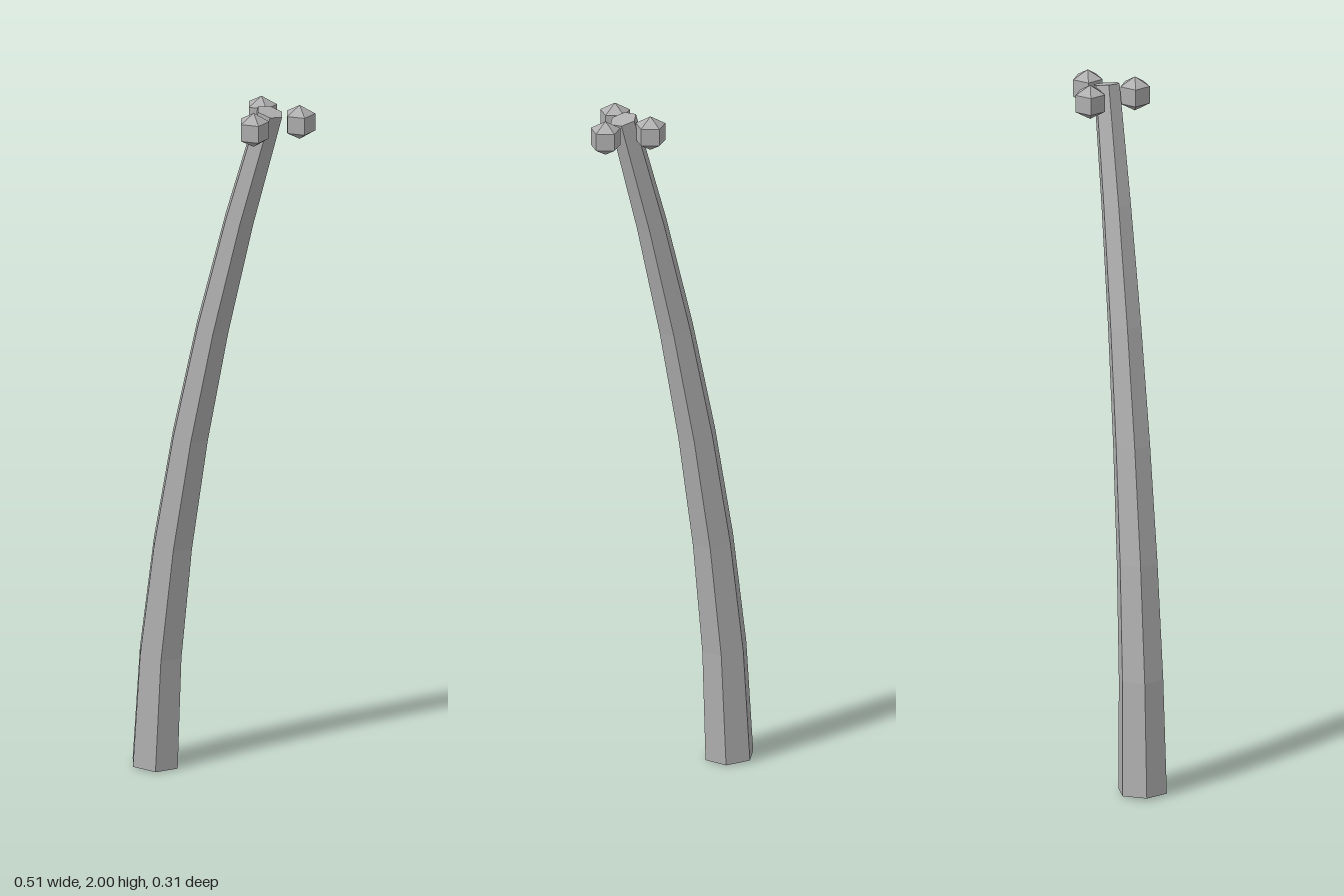
import * as THREE from 'three';

// Faceted normals for the low-poly look
function faceted(geometry) {
  const g = geometry.toNonIndexed();
  g.computeVertexNormals();
  return g;
}

// Tapered hexagonal trunk, bent along a curve, rings tilting with the bend
function trunkGeometry() {
  const g = new THREE.CylinderGeometry(0.0385, 0.072, 1, 6, 6);
  const p = g.attributes.position;
  for (let i = 0; i < p.count; i++) {
    const t = p.getY(i) + 0.5;
    const x = p.getX(i), z = p.getZ(i);
    const bend = Math.pow(t, 1.7);
    const tilt = (0.05 + 0.2 * t) * (0.93 * x + 0.37 * z);
    p.setXYZ(i, x - 0.192 + 0.319 * bend, 0.004 + 1.976 * t - tilt, z - 0.083 + 0.129 * bend);
  }
  return faceted(g);
}

export function createModel() {
  const model = new THREE.Group();
  model.name = 'palmTrunk';
  const grey = new THREE.MeshStandardMaterial({ color: 0xb0b0b0 });
  grey.name = 'grey';

  const trunk = new THREE.Mesh(trunkGeometry(), grey);
  trunk.name = 'trunk';
  model.add(trunk);

  // Three five-sided coconuts around the crown
  const nutGeometry = faceted(new THREE.SphereGeometry(0.05, 5, 3, Math.PI));
  const spots = [[0.21, 0.045], [0.104, -0.032], [0.081, 0.11]];
  spots.forEach(([x, z], i) => {
    const nut = new THREE.Mesh(nutGeometry, grey);
    nut.name = `coconut${i + 1}`;
    nut.position.set(x, 1.95, z);
    model.add(nut);
  });
  return model;
}
